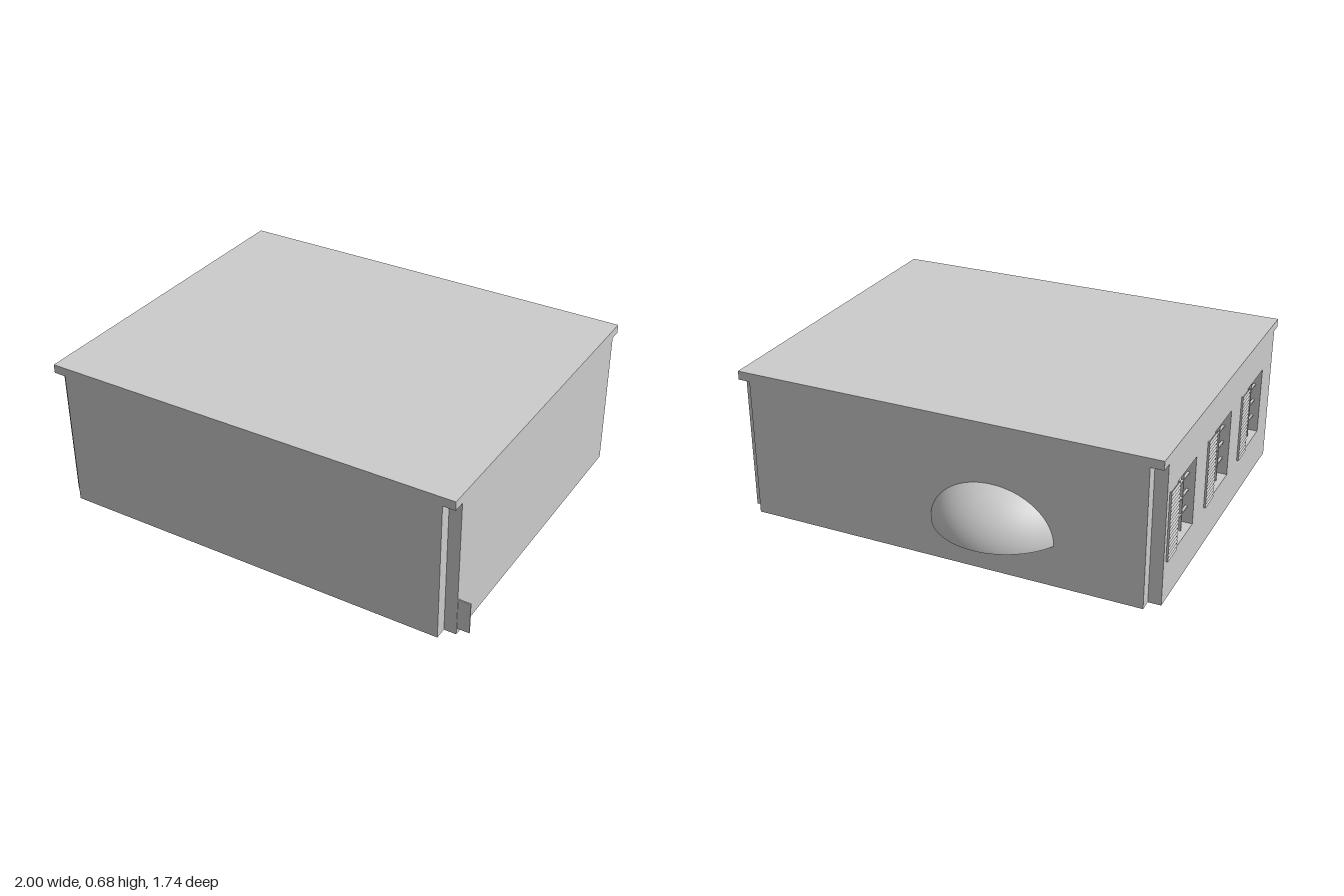
import * as THREE from 'three';

export function createModel() {
  const model = new THREE.Group();
  model.name = 'building';
  const grey = new THREE.MeshStandardMaterial({ color: 0xcccccc });
  grey.name = 'plain grey';
  const shellGrey = grey;
  shellGrey.side = THREE.DoubleSide;

  const add = (name, geometry, parent = model) => {
    const mesh = new THREE.Mesh(geometry, grey);
    mesh.name = name;
    parent.add(mesh);
    return mesh;
  };
  // Box given by its lower and upper corners
  const box = (name, x0, x1, y0, y1, z0, z1, parent = model) => {
    const mesh = add(name, new THREE.BoxGeometry(x1 - x0, y1 - y0, z1 - z0), parent);
    mesh.position.set((x0 + x1) / 2, (y0 + y1) / 2, (z0 + z1) / 2);
    return mesh;
  };

  // Outer and inner limits: the wall slabs stop short of the corners
  const X0 = -0.99, X1 = 0.945, Z0 = -0.7, Z1 = 0.87;
  const x0 = -0.933, x1 = 0.89, z0 = -0.645, z1 = 0.815;
  const wallTop = 0.64;
  box('roof', X0, X1, wallTop, 0.68, Z0, Z1);
  box('floor', x0, x1, 0, 0.02, z0, z1);
  box('frontWall', x0, x1, 0, wallTop, z1, Z1);
  box('backWall', x0, x1, 0, wallTop, Z0, z0);
  box('leftWall', x1, X1, 0, wallTop, z0, z1);

  // Window wall, drawn in z and y with three openings
  const sill = 0.19, head = 0.505, width = 0.22;
  const windowStarts = [-0.51, -0.035, 0.44];
  const wall = new THREE.Shape();
  wall.moveTo(z0, 0).lineTo(z1, 0).lineTo(z1, wallTop).lineTo(z0, wallTop).closePath();
  for (const z of windowStarts) {
    const hole = new THREE.Path();
    hole.moveTo(z, sill).lineTo(z, head).lineTo(z + width, head).lineTo(z + width, sill).closePath();
    wall.holes.push(hole);
  }
  const wallGeometry = new THREE.ExtrudeGeometry(wall, { depth: x0 - X0, bevelEnabled: false });
  wallGeometry.rotateY(-Math.PI / 2);
  add('windowWall', wallGeometry).position.x = x0;

  // Glazing bars and one open louvred shutter for each window
  for (const z of windowStarts) {
    const win = new THREE.Group();
    win.name = 'window';
    model.add(win);
    const bar = 0.006, bx0 = -0.965, bx1 = -0.953;
    for (let i = 1; i <= 2; i++) {
      const c = z + (width * i) / 3;
      box('uprightBar', bx0, bx1, sill, head, c - bar / 2, c + bar / 2, win);
    }
    for (let i = 1; i <= 3; i++) {
      const c = sill + ((head - sill) * i) / 4;
      box('crossBar', bx0, bx1, c - bar / 2, c + bar / 2, z, z + width, win);
    }
    const s0 = z - 0.108, s1 = z - 0.002;
    for (const [a, b] of [[s0, s0 + 0.008], [s1 - 0.008, s1]])
      box('shutterStile', -0.998, X0, sill, head, a, b, win);
    const slats = 18, pitch = (head - sill) / slats;
    for (let i = 0; i < slats; i++) {
      const y = sill + pitch * (i + 0.5);
      const slat = box('shutterSlat', -0.999, -0.994, y - 0.006, y + 0.006, s0, s1, win);
      slat.rotation.z = -0.35;
    }
  }

  // Domed canopy on the back, open below
  const radius = 0.316, inset = 0.145;
  const dome = new THREE.SphereGeometry(radius, 48, 20, 0, Math.PI, 0, Math.acos(inset / radius));
  dome.rotateX(-Math.PI / 2);
  const canopy = add('canopy', dome);
  canopy.scale.y = 0.785;
  canopy.position.set(-0.26, 0.19, Z0 + inset);

  // Thin plate standing out of the left wall near the front corner
  box('sidePlate', 0.93, 1, 0.028, 0.175, 0.806, 0.812);

  return model;
}
